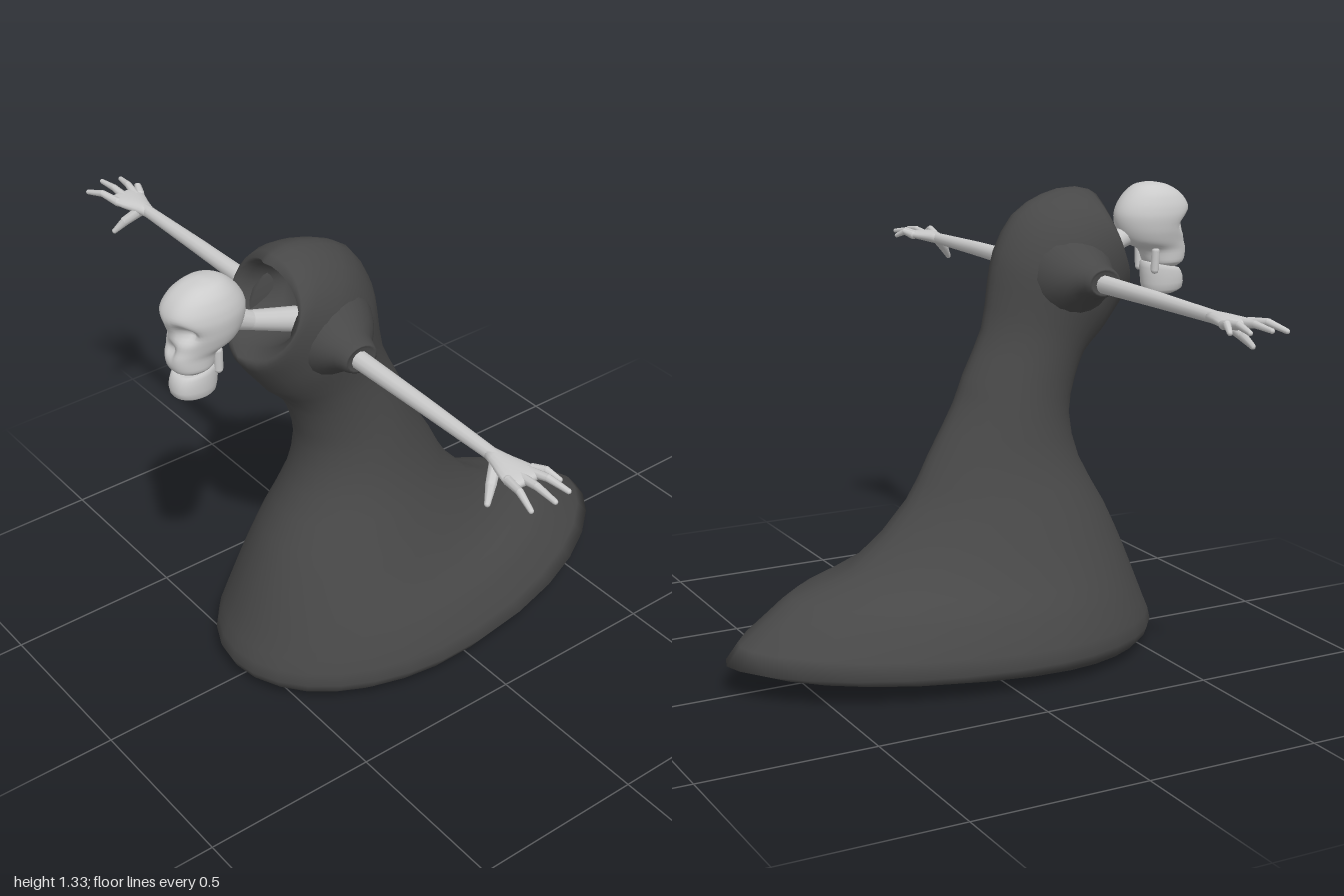
import * as THREE from 'three';

const bone = new THREE.MeshStandardMaterial({ color: 0xcccccc });
const cloth = new THREE.MeshStandardMaterial({ color: 0x484848 });
const V = (x, y, z) => new THREE.Vector3(x, y, z);

// Closed loft. Key: [front z, front y, back z, back y, half width, widest point 0..1, side sag]
function loft(keys, { n = 28, sub = 2, backPower = 1, frontPower = 1 } = {}) {
  const curve = f => new THREE.CatmullRomCurve3(keys.map(f));
  const front = curve(k => V(0, k[1], k[0]));
  const back = curve(k => V(0, k[3], k[2]));
  const shape = curve(k => V(k[4], k[5] ?? 0.5, k[6] ?? 0));
  const rows = (keys.length - 1) * sub, pos = [], idx = [];
  for (let i = 0; i <= rows; i++) {
    const t = i / rows, F = front.getPoint(t), B = back.getPoint(t), S = shape.getPoint(t);
    for (let j = 0; j < n; j++) {
      const a = j / n * Math.PI * 2, s = Math.sin(a), c = Math.cos(a);
      const u = c > 0 ? S.y * (1 - c) : S.y - (1 - S.y) * c;
      const p = F.clone().lerp(B, u);
      const x = S.x * Math.sign(s) * Math.abs(s) ** (c < 0 ? backPower : frontPower);
      pos.push(x, p.y, p.z - S.z * Math.abs(s));
      if (i < rows) {
        const q = i * n + j, r = i * n + (j + 1) % n;
        idx.push(q, r, q + n, r, r + n, q + n);
      }
    }
  }
  // End caps
  for (const [row, t] of [[0, 0], [rows, 1]]) {
    const c = front.getPoint(t).lerp(back.getPoint(t), 0.5), ci = pos.length / 3;
    pos.push(c.x, c.y, c.z);
    for (let j = 0; j < n; j++) {
      const q = row * n + j, r = row * n + (j + 1) % n;
      if (row) idx.push(ci, q, r); else idx.push(ci, r, q);
    }
  }
  const g = new THREE.BufferGeometry();
  g.setAttribute('position', new THREE.Float32BufferAttribute(pos, 3));
  g.setIndex(idx);
  g.computeVertexNormals();
  return g;
}

function add(parent, name, geometry, material = bone) {
  const m = new THREE.Mesh(geometry, material);
  m.name = name;
  parent.add(m);
  return m;
}

// Tapered round limb through a list of [x, y, z, radius] joints
function limb(parent, name, joints, seg = 10) {
  const g = new THREE.Group();
  g.name = name;
  joints.forEach(([x, y, z, r], i) => {
    const a = V(x, y, z);
    add(g, name + 'Joint', new THREE.SphereGeometry(r, seg, 6)).position.copy(a);
    if (!i) return;
    const [px, py, pz, pr] = joints[i - 1], b = V(px, py, pz), d = a.clone().sub(b);
    const m = add(g, name + 'Bone', new THREE.CylinderGeometry(r, pr, d.length(), seg, 1, true));
    m.position.copy(a).add(b).multiplyScalar(0.5);
    m.quaternion.setFromUnitVectors(V(0, 1, 0), d.normalize());
  });
  parent.add(g);
}

function skullGeometry() {
  const g = loft([
    [0.70, 1.09, 0.61, 1.09, 0.040], [0.718, 1.105, 0.597, 1.105, 0.054],
    [0.724, 1.14, 0.58, 1.14, 0.057], [0.715, 1.17, 0.53, 1.165, 0.070],
    [0.72, 1.20, 0.508, 1.20, 0.080], [0.73, 1.24, 0.50, 1.24, 0.085],
    [0.724, 1.27, 0.508, 1.27, 0.081], [0.70, 1.302, 0.53, 1.302, 0.068],
    [0.66, 1.326, 0.56, 1.326, 0.045], [0.62, 1.335, 0.60, 1.335, 0.014],
  ], { n: 48, sub: 4, frontPower: 0.75 });
  // Press in the eye sockets and nose: [x, y, radius x, radius y, depth]
  const dents = [[0.042, 1.218, 0.024, 0.024, 0.045], [-0.042, 1.218, 0.024, 0.024, 0.045], [0, 1.16, 0.013, 0.02, 0.015]];
  const p = g.attributes.position;
  for (let i = 0; i < p.count; i++) {
    if (p.getZ(i) < 0.63) continue;
    let z = p.getZ(i);
    for (const [x, y, rx, ry, d] of dents)
      z -= d * Math.exp(-(((p.getX(i) - x) / rx) ** 2) - ((p.getY(i) - y) / ry) ** 2);
    p.setZ(i, z);
  }
  g.computeVertexNormals();
  return g;
}

export function createModel() {
  const model = new THREE.Group();
  model.name = 'robedSkeleton';

  // Robe: flared hem with a trailing point, rising into a forward-bent hood and its hollow
  add(model, 'robe', loft([
    [0.49, 0.003, -0.20, 0.008, 0.20, 0.4], [0.56, 0.025, -0.52, 0.045, 0.33, 0.4],
    [0.59, 0.07, -0.72, 0.09, 0.375, 0.4], [0.565, 0.14, -0.61, 0.19, 0.35, 0.4],
    [0.54, 0.20, -0.52, 0.25, 0.325, 0.4], [0.50, 0.30, -0.34, 0.31, 0.28, 0.42],
    [0.44, 0.43, -0.17, 0.47, 0.22, 0.45], [0.36, 0.57, -0.10, 0.60, 0.17, 0.45],
    [0.33, 0.70, -0.02, 0.74, 0.145], [0.35, 0.80, 0.01, 0.82, 0.135],
    [0.38, 0.87, 0.07, 0.95, 0.132], [0.43, 0.92, 0.09, 1.08, 0.145],
    [0.46, 0.96, 0.11, 1.17, 0.158], [0.49, 1.00, 0.17, 1.27, 0.16],
    [0.51, 1.03, 0.26, 1.32, 0.155], [0.52, 1.05, 0.36, 1.335, 0.15, 0.5, 0.02],
    [0.52, 1.065, 0.43, 1.31, 0.14, 0.5, 0.045], [0.47, 1.08, 0.40, 1.29, 0.115, 0.5, 0.03],
    [0.34, 1.08, 0.28, 1.24, 0.08],
  ], { n: 30, backPower: 1.25 }), cloth);

  // Head
  const head = new THREE.Group();
  head.name = 'head';
  model.add(head);
  add(head, 'skull', skullGeometry());
  add(head, 'jaw', loft([
    [0.69, 1.01, 0.61, 1.01, 0.032], [0.718, 1.025, 0.597, 1.022, 0.048],
    [0.718, 1.06, 0.59, 1.065, 0.052], [0.705, 1.082, 0.59, 1.105, 0.050],
    [0.69, 1.083, 0.605, 1.106, 0.038],
  ], { frontPower: 0.75 }));
  limb(head, 'neck', [[0, 1.20, 0.56, 0.034], [0, 1.16, 0.48, 0.026], [0, 1.11, 0.34, 0.034]], 14);

  for (const s of [1, -1]) {
    const side = s > 0 ? 'left' : 'right';
    limb(head, side + 'JawHinge', [[s * 0.042, 1.085, 0.606, 0.012], [s * 0.045, 1.14, 0.606, 0.012]]);

    // Sleeve, lofted upward and then laid sideways
    const sleeve = loft([
      [0.42, 0.09, 0.16, 0.09, 0.135], [0.41, 0.13, 0.18, 0.13, 0.11],
      [0.39, 0.17, 0.21, 0.17, 0.078], [0.37, 0.21, 0.245, 0.21, 0.052],
      [0.36, 0.25, 0.262, 0.25, 0.038], [0.345, 0.245, 0.275, 0.245, 0.028],
    ], { n: 20 });
    sleeve.rotateZ(-s * Math.PI / 2);
    add(model, side + 'Sleeve', sleeve, cloth).position.y = 1.1;

    // Arm and hand
    const arm = new THREE.Group();
    arm.name = side + 'Arm';
    model.add(arm);
    limb(arm, 'forearm', [[s * 0.15, 1.095, 0.312, 0.027], [s * 0.5, 1.095, 0.312, 0.022], [s * 0.78, 1.092, 0.312, 0.017]], 12);
    const palm = loft([
      [0.329, 0.75, 0.295, 0.75, 0.016], [0.345, 0.80, 0.282, 0.80, 0.017],
      [0.362, 0.85, 0.266, 0.85, 0.015], [0.362, 0.885, 0.262, 0.885, 0.012],
      [0.35, 0.895, 0.275, 0.895, 0.007],
    ], { n: 16 });
    palm.rotateZ(-s * Math.PI / 2);
    add(arm, 'palm', palm).position.y = 1.092;
    // Fingers: [knuckle z, tip x, tip y, tip z]
    for (const [kz, tx, ty, tz] of [[0.274, 0.925, 1.085, 0.247], [0.288, 0.978, 1.092, 0.268], [0.318, 0.992, 1.095, 0.322], [0.35, 0.975, 1.086, 0.38]]) {
      const kx = 0.86;
      limb(arm, 'finger', [[s * kx, 1.092, kz, 0.013], [s * (kx + tx) / 2, 1.1, (kz + tz) / 2, 0.010], [s * tx, ty, tz, 0.007]], 8);
    }
    limb(arm, 'thumb', [[s * 0.785, 1.085, 0.325, 0.016], [s * 0.81, 1.055, 0.358, 0.014], [s * 0.83, 1.022, 0.385, 0.008]], 8);
  }
  return model;
}
